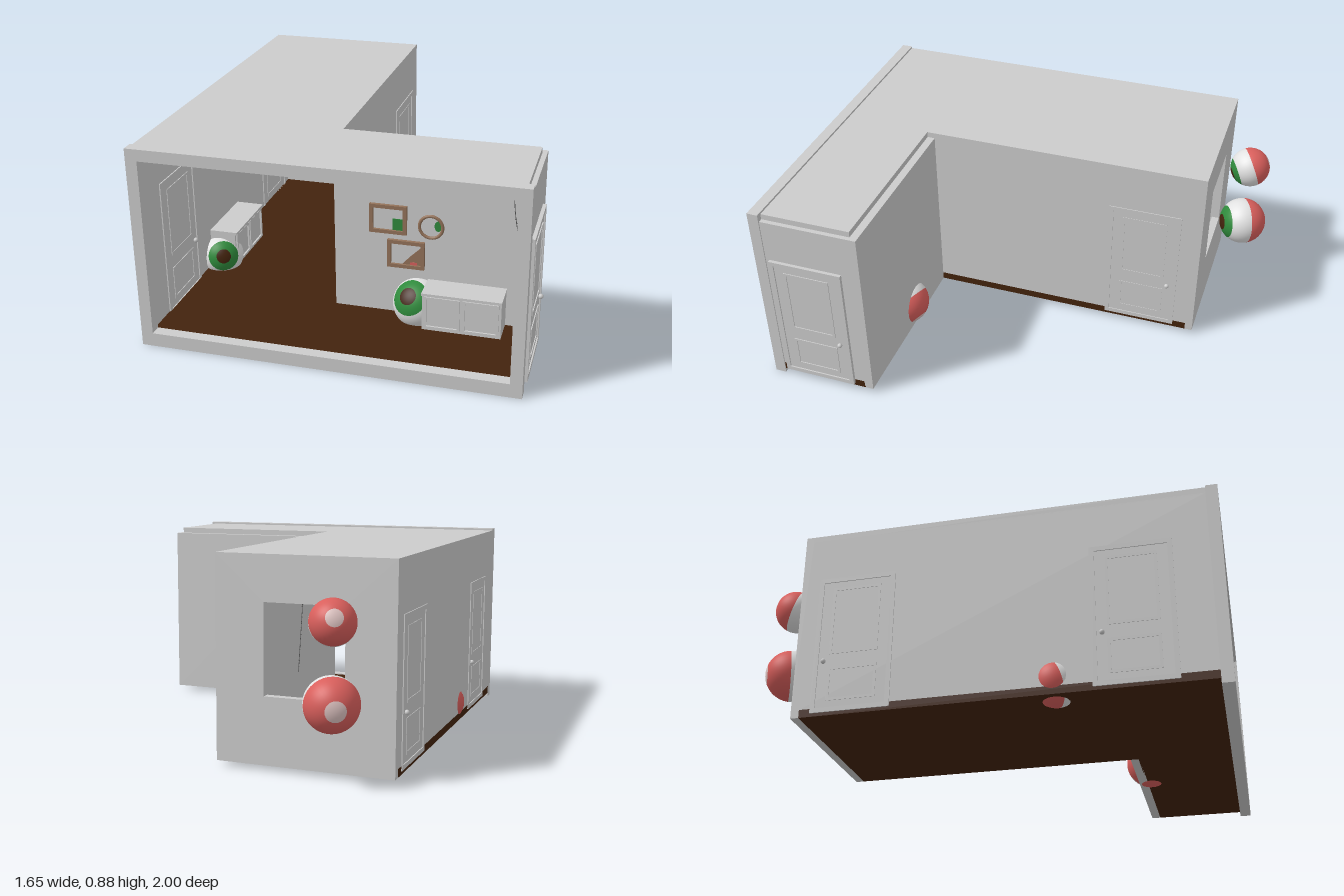
import * as THREE from 'three';

const mat = (name, color, side = THREE.FrontSide) => {
  const m = new THREE.MeshStandardMaterial({ color, side });
  m.name = name;
  return m;
};
const M = {
  wall: mat('pale grey', 0xcccccc),
  floor: mat('dark brown', 0x43230d),
  wood: mat('frame wood', 0x94735a),
  white: mat('eye white', 0xe2e2e2),
  green: mat('iris green', 0x2f8a3c),
  red: mat('blood red', 0xd95f5c),
  pink: mat('pale pink', 0xdfc4c2),
  cord: mat('garland grey', 0x5a5a5a),
};

export function createModel() {
  const root = new THREE.Group();
  root.name = 'room';

  const add = (parent, name, geo, material, x = 0, y = 0, z = 0) => {
    const m = new THREE.Mesh(geo, material);
    m.name = name;
    m.position.set(x, y, z);
    parent.add(m);
    return m;
  };
  // Box given by its limits on each axis
  const box = (name, material, x0, x1, y0, y1, z0, z1, parent = root) =>
    add(parent, name, new THREE.BoxGeometry(x1 - x0, y1 - y0, z1 - z0), material,
      (x0 + x1) / 2, (y0 + y1) / 2, (z0 + z1) / 2);
  // Rectangular plate with a rectangular hole, extruded along z
  const rect = (C, x0, x1, y0, y1) => {
    const s = new C();
    s.moveTo(x0, y0); s.lineTo(x1, y0); s.lineTo(x1, y1); s.lineTo(x0, y1); s.closePath();
    return s;
  };
  const holed = (o, h, depth) => {
    const s = rect(THREE.Shape, ...o);
    s.holes.push(rect(THREE.Path, ...h));
    return new THREE.ExtrudeGeometry(s, { depth, bevelEnabled: false });
  };
  const ring = (x0, x1, y0, y1, t, depth) =>
    holed([x0, x1, y0, y1], [x0 + t, x1 - t, y0 + t, y1 - t], depth);

  // Shell: front frame, L-shaped floor, walls and roof
  add(root, 'frontFrame', holed([-0.8, 0.805, 0, 0.885], [-0.75, 0.755, 0.06, 0.835], 0.05), M.wall, 0, 0, 0.95);
  box('hallFloor', M.floor, -0.8, -0.04, 0.02, 0.055, -0.735, 0.95);
  box('wingFloor', M.floor, -0.04, 0.8, 0.02, 0.055, 0.545, 0.95);
  box('leftWall', M.wall, -0.8, -0.765, 0.055, 0.85, -0.735, 0.95);
  box('hallRightWall', M.wall, -0.085, -0.04, 0.055, 0.85, -0.735, 0.55);
  box('wingBackWall', M.wall, -0.04, 0.8, 0.02, 0.85, 0.51, 0.55);
  box('wingRightWall', M.wall, 0.76, 0.8, 0.055, 0.85, 0.55, 0.95);
  box('hallRoof', M.wall, -0.8, -0.04, 0.845, 0.876, -0.735, 0.95);
  box('wingRoof', M.wall, -0.04, 0.78, 0.845, 0.876, 0.545, 0.95);
  add(root, 'windowWall', holed([-0.8, -0.04, 0.02, 0.876], [-0.592, -0.25, 0.305, 0.685], 0.035), M.wall, 0, 0, -0.77);

  // Two-panel doors running through the wall, with a knob on both faces
  const door = (name, x0, x1, z) => {
    const g = new THREE.Group(), t = x1 - x0;
    g.name = name;
    g.position.set((x0 + x1) / 2, 0, z);
    g.rotation.y = Math.PI / 2;
    root.add(g);
    add(g, 'doorCasing', ring(-0.168, 0.168, 0.035, 0.655, 0.02, t), M.wall, 0, 0, -t / 2);
    box('doorSlab', M.wall, -0.148, 0.148, 0.055, 0.635, -t / 2 + 0.006, t / 2 - 0.006, g);
    for (const s of [-1, 1]) {
      const z0 = s * (t / 2 - 0.006) - (s < 0 ? 0.004 : 0);
      for (const [y0, y1] of [[0.085, 0.235], [0.295, 0.605]])
        add(g, 'doorMoulding', ring(-0.105, 0.105, y0, y1, 0.012, 0.004), M.wall, 0, 0, z0);
      add(g, 'doorKnob', new THREE.SphereGeometry(0.011, 12, 8), M.wall, 0.125, 0.262, s * (t / 2 + 0.003));
    }
  };
  door('wingDoor', 0.75, 0.815, 0.764);
  door('hallRightDoor', -0.09, -0.036, -0.506);
  door('leftBackDoor', -0.804, -0.76, -0.52);
  door('leftFrontDoor', -0.804, -0.76, 0.635);

  // Low cabinets with two panelled doors facing local +z
  const cabinet = (name, x, z, turn) => {
    const g = new THREE.Group();
    g.name = name;
    g.position.set(x, 0, z);
    g.rotation.y = turn;
    root.add(g);
    box('cabinetBody', M.wall, -0.168, 0.168, 0.055, 0.218, 0, 0.122, g);
    box('cabinetTop', M.wall, -0.17, 0.17, 0.218, 0.23, 0, 0.132, g);
    for (const s of [-1, 1])
      add(g, 'cabinetDoor', ring(s * 0.082 - 0.076, s * 0.082 + 0.076, 0.066, 0.214, 0.01, 0.008), M.wall, 0, 0, 0.122);
  };
  cabinet('wingCabinet', 0.497, 0.55, 0);
  cabinet('hallCabinet', -0.765, 0.165, Math.PI / 2);

  // Giant eyes, built as bands around the gaze axis
  const bands = [
    ['pupil', M.floor, 0, 20], ['iris', M.green, 20, 45], ['eyeball', M.white, 45, 95],
    ['eyeBack', M.red, 95, 158], ['nerveSpot', M.pink, 158, 180],
  ];
  const eye = (name, x, y, z, r, gaze) => {
    const g = new THREE.Group();
    g.name = name;
    g.position.set(x, y, z);
    g.quaternion.setFromUnitVectors(new THREE.Vector3(0, 1, 0), new THREE.Vector3(...gaze).normalize());
    root.add(g);
    for (const [part, m, a, b] of bands) {
      const rad = Math.PI / 180;
      add(g, part, new THREE.SphereGeometry(r, 36, Math.ceil((b - a) / 6), 0, Math.PI * 2, a * rad, (b - a) * rad), m);
    }
  };
  eye('upperWindowEye', -0.583, 0.64, -0.89, 0.093, [0.38, -0.33, 0.86]);
  eye('lowerWindowEye', -0.58, 0.325, -0.888, 0.112, [0.47, 0.05, 0.88]);
  eye('leftWallEye', -0.72, 0.1, 0.31, 0.097, [0.42, 0.32, 0.85]);
  eye('backWallEye', 0.29, 0.12, 0.565, 0.11, [-0.28, 0.62, 0.73]);

  // Pictures on the wing back wall
  const picture = (name, x0, x1, y0, y1) => {
    add(root, name + 'Frame', ring(x0, x1, y0, y1, 0.016, 0.015), M.wood, 0, 0, 0.55);
    box(name + 'Canvas', M.wall, x0 + 0.01, x1 - 0.01, y0 + 0.01, y1 - 0.01, 0.55, 0.554);
  };
  picture('upperPicture', 0.072, 0.234, 0.43, 0.56);
  box('upperPicturePaint', M.green, 0.172, 0.22, 0.446, 0.498, 0.554, 0.556);
  picture('lowerPicture', 0.15, 0.312, 0.275, 0.402);
  const hill = new THREE.Shape([[0.215, 0.291], [0.296, 0.291], [0.296, 0.375], [0.25, 0.33]].map(p => new THREE.Vector2(...p)));
  add(root, 'lowerPicturePaint', new THREE.ExtrudeGeometry(hill, { depth: 0.002, bevelEnabled: false }), M.wood, 0, 0, 0.554);
  box('lowerPictureAccent', M.red, 0.25, 0.28, 0.291, 0.303, 0.556, 0.558);
  add(root, 'roundPictureFrame', new THREE.TorusGeometry(0.05, 0.007, 8, 32), M.wood, 0.338, 0.478, 0.557);
  add(root, 'roundPictureCanvas', new THREE.CircleGeometry(0.048, 32), M.wall, 0.338, 0.478, 0.553);
  add(root, 'roundPicturePaint', new THREE.CircleGeometry(0.024, 16).scale(0.65, 1, 1), M.green, 0.368, 0.483, 0.555);

  // Ceiling lamps and vent
  for (const [x, z] of [[-0.43, 0.1], [0.41, 0.75]])
    add(root, 'ceilingLamp', new THREE.SphereGeometry(0.05, 24, 10, 0, Math.PI * 2, Math.PI / 2, Math.PI / 2), M.white, x, 0.845, z);
  box('ceilingVent', M.cord, -0.335, -0.225, 0.838, 0.845, 0.05, 0.16);

  // Garlands: sagging cords with small leaves
  const garland = (pts) => {
    const curve = new THREE.CatmullRomCurve3(pts.map(p => new THREE.Vector3(...p)));
    add(root, 'garlandCord', new THREE.TubeGeometry(curve, 20, 0.0015, 4), M.cord);
    const n = Math.round(curve.getLength() / 0.025);
    for (let i = 0; i <= n; i++) {
      const p = curve.getPointAt(i / n);
      add(root, 'garlandLeaf', new THREE.OctahedronGeometry(0.004), M.cord, p.x, p.y + (i % 2 ? 0.003 : -0.003), p.z);
    }
  };
  const hooks = [[-0.025, 0.775], [0.165, 0.785], [0.35, 0.775], [0.475, 0.785], [0.67, 0.765]];
  const sags = [0.71, 0.68, 0.715, 0.685];
  sags.forEach((s, i) => {
    const [a, b] = [hooks[i], hooks[i + 1]];
    garland([[a[0], a[1], 0.556], [(a[0] + b[0]) / 2, s, 0.556], [b[0], b[1], 0.556]]);
  });
  garland([[0.67, 0.765, 0.556], [0.695, 0.53, 0.556], [0.74, 0.36, 0.556]]);
  garland([[-0.09, 0.78, 0.5], [-0.09, 0.7, 0.3], [-0.09, 0.78, 0.1]]);
  garland([[-0.09, 0.78, 0.1], [-0.09, 0.5, 0.06], [-0.09, 0.25, 0.02]]);

  return root;
}
